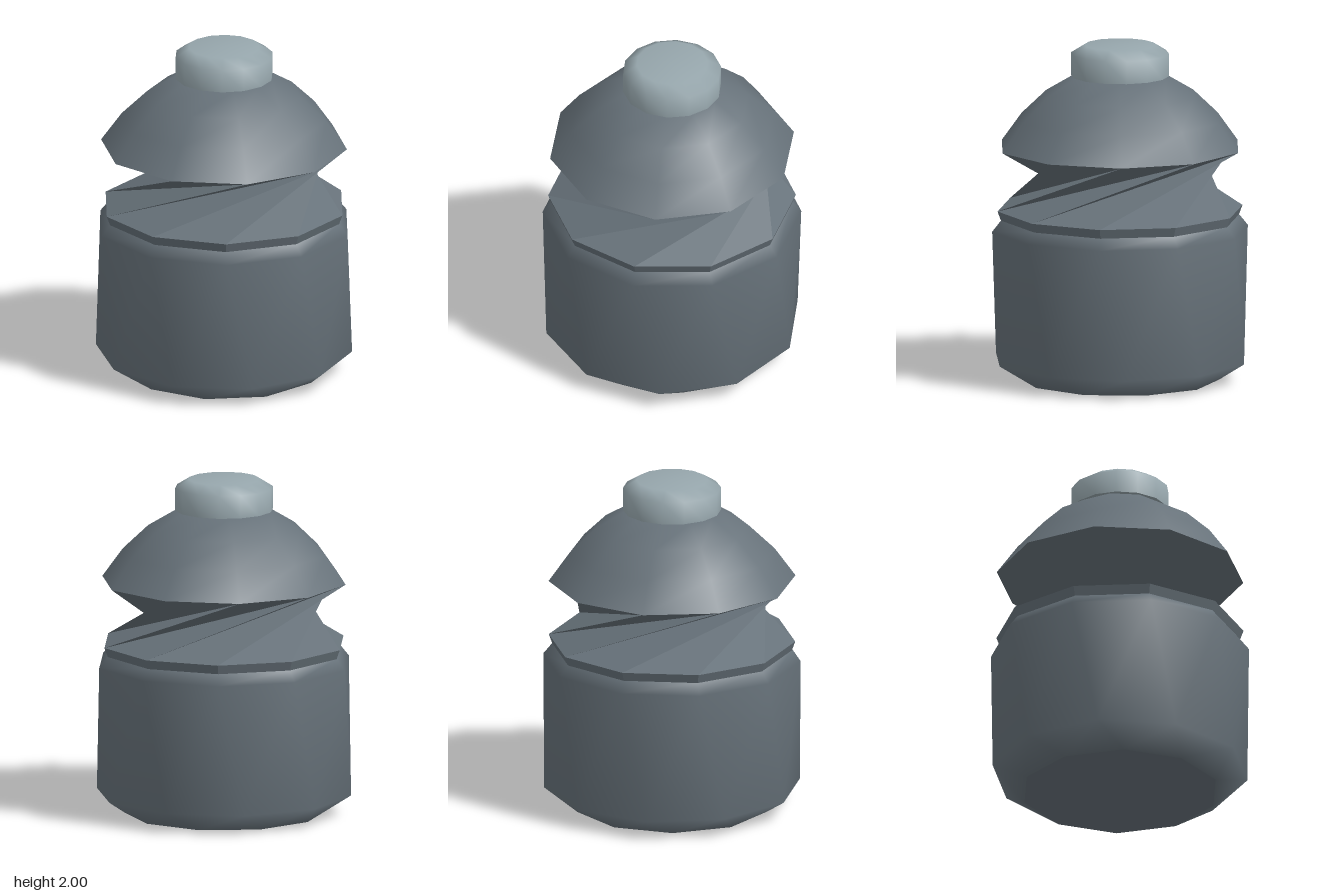
import * as THREE from 'three';

const SIDES = 10;

// Skin over ten-sided rings given as [radius, height, rotation in degrees]
function ringSkin(rings, flat) {
  const pos = [], index = [];
  for (const [r, y, deg] of rings) {
    for (let i = 0; i < SIDES; i++) {
      const a = THREE.MathUtils.degToRad(deg) + (i / SIDES) * Math.PI * 2;
      pos.push(r * Math.cos(a), y, -r * Math.sin(a));
    }
  }
  for (let k = 0; k < rings.length - 1; k++) {
    for (let i = 0; i < SIDES; i++) {
      const j = (i + 1) % SIDES;
      const a = k * SIDES + i, b = k * SIDES + j;
      const c = b + SIDES, d = a + SIDES;
      index.push(a, b, c, a, c, d);
    }
  }
  let geo = new THREE.BufferGeometry();
  geo.setAttribute('position', new THREE.Float32BufferAttribute(pos, 3));
  geo.setIndex(index);
  if (flat) geo = geo.toNonIndexed();
  geo.computeVertexNormals();
  return geo;
}

export function createModel() {
  const model = new THREE.Group();
  model.name = 'bottle';
  const bodyMat = new THREE.MeshStandardMaterial({ color: 0x67727a, side: THREE.DoubleSide });
  const capMat = new THREE.MeshStandardMaterial({ color: 0x97a7ad });

  const add = (name, geo, mat) => {
    const mesh = new THREE.Mesh(geo, mat);
    mesh.name = name;
    model.add(mesh);
    return mesh;
  };

  // Slightly twisted lower body with chamfered foot and rounded rim
  add('body', ringSkin([
    [0.586, 0, 22], [0.758, 0.12, 10], [0.762, 0.9, -2], [0.71, 0.965, -2],
  ]), bodyMat);

  // Flat base
  const base = add('base', new THREE.CircleGeometry(0.586, SIDES, THREE.MathUtils.degToRad(-22)), bodyMat);
  base.rotation.x = Math.PI / 2;

  // Small flange and strongly twisted, faceted waist
  add('flange', ringSkin([[0.71, 0.965, -2], [0.73, 1.02, -2]], true), bodyMat);
  add('waist', ringSkin([[0.73, 1.02, -2], [0.73, 1.39, 80]], true), bodyMat);

  // Domed shoulder, closed under the cap
  add('shoulder', ringSkin([
    [0.73, 1.39, 80], [0.607, 1.56, 80], [0.455, 1.705, 80], [0.28, 1.81, 80], [0, 1.82, 80],
  ]), bodyMat);

  // Fourteen-sided cap with a chamfered top
  const profile = [[0, 1.815], [0.29, 1.815], [0.29, 1.815], [0.29, 1.95], [0.21, 2], [0, 2]]
    .map(([x, y]) => new THREE.Vector2(x, y));
  const cap = add('cap', new THREE.LatheGeometry(profile, 14), capMat);
  cap.rotation.y = Math.PI / 2;

  return model;
}
